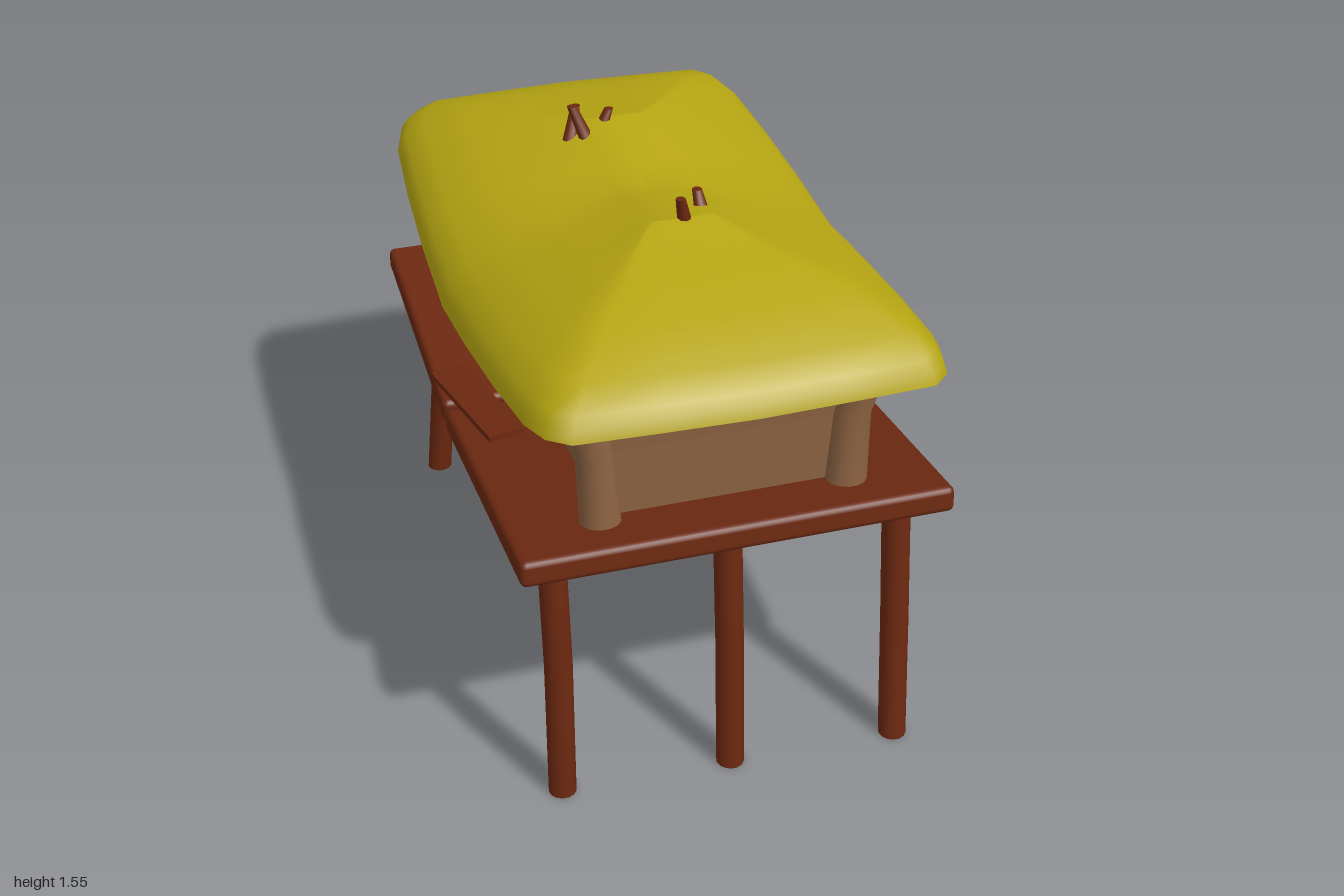
import * as THREE from 'three';
import { RoundedBoxGeometry } from 'three/addons/geometries/RoundedBoxGeometry.js';

const WOOD = 0x6b2810, TAN = 0x8b6242, THATCH = 0xb5a512;
const material = (color, extra = {}) => new THREE.MeshStandardMaterial({ color, ...extra });
const V = (x, y, z) => new THREE.Vector3(x, y, z);

// Skin a stack of closed rings (bottom to top), optionally closing both ends
function loft(rings, caps = false) {
  const pos = [], idx = [], n = rings[0].length;
  rings.forEach(r => r.forEach(p => pos.push(p.x, p.y, p.z)));
  for (let j = 0; j < rings.length - 1; j++) {
    for (let i = 0; i < n; i++) {
      const a = j * n + i, b = j * n + (i + 1) % n;
      idx.push(a, a + n, b, b, a + n, b + n);
    }
  }
  if (caps) {
    [rings[0], rings[rings.length - 1]].forEach((r, top) => {
      const base = pos.length / 3;
      r.forEach(p => pos.push(p.x, p.y, p.z));
      for (let i = 1; i < n - 1; i++) {
        if (top) idx.push(base, base + i + 1, base + i);
        else idx.push(base, base + i, base + i + 1);
      }
    });
  }
  const g = new THREE.BufferGeometry();
  g.setAttribute('position', new THREE.Float32BufferAttribute(pos, 3));
  g.setIndex(idx);
  g.computeVertexNormals();
  return g;
}

// Bent round pole through [x, y, z, radius] stations, running up y or along x
function pole(stations, alongX = false, sides = 14) {
  return loft(stations.map(([x, y, z, r]) => Array.from({ length: sides }, (_, i) => {
    const a = i / sides * Math.PI * 2, c = Math.cos(a) * r, s = Math.sin(a) * r;
    return alongX ? V(x, y + s, z + c) : V(x + c, y, z + s);
  })), true);
}

// Complete a quarter outline (from +x axis to +z axis) to a full loop
function mirrorLoop(q) {
  const rev = [...q].reverse();
  const part = (list, sx, sz) => list.slice(0, -1).map(([x, z]) => [x * sx, z * sz]);
  return [...part(q, 1, 1), ...part(rev, -1, 1), ...part(q, -1, -1), ...part(rev, 1, -1)];
}

export function createModel() {
  const model = new THREE.Group();
  const add = (name, geometry, color, extra) => {
    const mesh = new THREE.Mesh(geometry, material(color, extra));
    mesh.name = name;
    model.add(mesh);
    return mesh;
  };
  const cx = 0.012;

  // Two floor decks sagging towards the middle
  const deck = (name, z0, y0, z1, y1) => {
    const m = add(name, new RoundedBoxGeometry(1.21, 0.075, Math.hypot(z1 - z0, y1 - y0), 2, 0.018), WOOD);
    m.position.set(cx, (y0 + y1) / 2, (z0 + z1) / 2);
    m.rotation.x = -Math.atan2(y0 - y1, z0 - z1);
  };
  deck('frontDeck', 0.9, 0.822, -0.05, 0.712);
  deck('backDeck', -0.08, 0.715, -0.9, 0.82);

  // Crooked stilts, listed bottom, knee, top
  const r = 0.04;
  const legs = {
    frontRightLeg: [[-0.48, 0, 0.825], [-0.48, 0.45, 0.815], [-0.48, 0.79, 0.77]],
    frontMiddleLeg: [[0.01, 0, 0.845], [0.01, 0.4, 0.815], [0.01, 0.79, 0.77]],
    frontLeftLeg: [[0.5, 0, 0.865], [0.5, 0.4, 0.82], [0.5, 0.79, 0.77]],
    backRightLeg: [[-0.475, 0, -0.865], [-0.443, 0.51, -0.81], [-0.475, 0.79, -0.77]],
    backMiddleLeg: [[-0.035, 0.03, -0.805], [0.01, 0.52, -0.84], [0.01, 0.79, -0.77]],
    backLeftLeg: [[0.485, 0.01, -0.86], [0.493, 0.4, -0.81], [0.5, 0.79, -0.77]],
  };
  for (const [name, pts] of Object.entries(legs)) {
    add(name, pole(pts.map(p => [...p, r])), WOOD);
  }

  // Hut walls: flaring upwards, bottom edge following the sagging floor
  const plan = mirrorLoop([[0.325, 0], [0.325, 0.72], [0, 0.72]]);
  const wall = (flare, yAt) => plan.map(([x, z]) =>
    V(cx + x * flare, yAt(Math.abs(z)), z * (1 + (flare - 1) * 0.15)));
  add('walls', loft([
    wall(1, z => 0.73 + 0.11 * z),
    wall(1.05, z => 1.0 + 0.06 * z),
    wall(1.22, () => 1.3),
  ]), TAN, { flatShading: true, side: THREE.DoubleSide });

  // Corner posts and doors, mirrored
  for (const sx of [1, -1]) {
    for (const sz of [1, -1]) {
      add('cornerPost', pole([
        [cx + sx * 0.347, 0.82, sz * 0.74, 0.058],
        [cx + sx * 0.36, 1.05, sz * 0.725, 0.052],
        [cx + sx * 0.405, 1.24, sz * 0.75, 0.055],
        [cx + sx * 0.425, 1.33, sz * 0.755, 0.055],
      ]), TAN);
    }
    const shape = new THREE.Shape([[-0.11, 0.75], [0.11, 0.75], [0.095, 0.98], [0, 0.965], [-0.095, 0.98]]
      .map(([x, y]) => new THREE.Vector2(x, y - 0.75)));
    const door = add('door', new THREE.ExtrudeGeometry(shape, { depth: 0.04, bevelEnabled: false }), TAN);
    door.rotation.y = sx * Math.PI / 2;
    door.position.set(cx + sx * 0.32, 0.75, 0);
  }

  // Thatched roof: eave outline lifted in rings to a twin-peaked ridge
  const eave = mirrorLoop([[0.602, 0], [0.598, 0.28], [0.585, 0.57], [0.565, 0.82], [0.535, 0.92],
    [0.48, 0.975], [0.25, 0.988], [0, 0.998]]);
  const profile = [[1, 1], [0.985, 0.88], [0.95, 0.75], [0.85, 0.55], [0.6, 0.31], [0.34, 0.2], [0, 0]];
  const ridge = (x, z) => {
    const rz = Math.sign(z) * Math.min(Math.abs(z) * 0.34 / 0.9, 0.34);
    const rx = THREE.MathUtils.clamp(x * 0.09 / 0.5, -0.09, 0.09);
    return V(rx, 1.43 + 0.06 * Math.abs(rz) / 0.34, rz);
  };
  const roofRings = profile.map(([f, drop]) => eave.map(([x, z]) => {
    const top = ridge(x, z), low = 1.125 + 0.132 * Math.abs(z);
    return V(cx + top.x + (x - top.x) * f, top.y + (low - top.y) * drop, top.z + (z - top.z) * f);
  }));
  roofRings.push(eave.map(([x, z]) => ridge(x, z).setX(cx)));
  add('thatchRoof', loft(roofRings), THATCH, { side: THREE.DoubleSide });

  // Pole ends poking through the two peaks
  const sticks = [
    [[-0.075, 1.43, -0.26], [-0.12, 1.55, -0.31]],
    [[-0.13, 1.44, -0.3], [-0.1, 1.535, -0.345]],
    [[-0.04, 1.44, -0.32], [0.0, 1.515, -0.34]],
    [[0.03, 1.43, 0.33], [0.005, 1.55, 0.345]],
    [[0.095, 1.43, 0.28], [0.09, 1.51, 0.225]],
  ];
  for (const [a, b] of sticks) {
    add('roofStick', pole([[...a, 0.025], [...b, 0.014]], false, 8), WOOD);
  }

  // Loose planks on the walkways and over a door
  const plank = (name, w, h, d, p, rot) => {
    const m = add(name, new THREE.BoxGeometry(w, h, d), WOOD);
    m.position.set(...p);
    m.rotation.set(...rot, 'YXZ');
  };
  plank('middlePlank', 0.09, 0.018, 0.32, [0.43, 0.777, -0.04], [0, -0.45, 0]);
  plank('backPlank', 0.11, 0.018, 0.36, [0.45, 0.82, -0.48], [0.13, 0, 0]);
  plank('sidePlank', 0.11, 0.018, 0.4, [-0.505, 0.79, 0], [0, 0.22, 0]);
  plank('hangingPlank', 0.02, 0.06, 0.32, [0.41, 1.08, -0.02], [-0.52, 0, 0]);

  // Sagging log behind the back wall
  add('backLog', pole([
    [-0.47, 0.975, -0.84, 0.015], [-0.43, 0.94, -0.84, 0.045], [-0.25, 0.91, -0.84, 0.052],
    [0, 0.895, -0.84, 0.055], [0.22, 0.91, -0.84, 0.05], [0.36, 0.945, -0.84, 0.04], [0.4, 0.97, -0.84, 0.015],
  ], true, 10), WOOD);

  return model;
}
